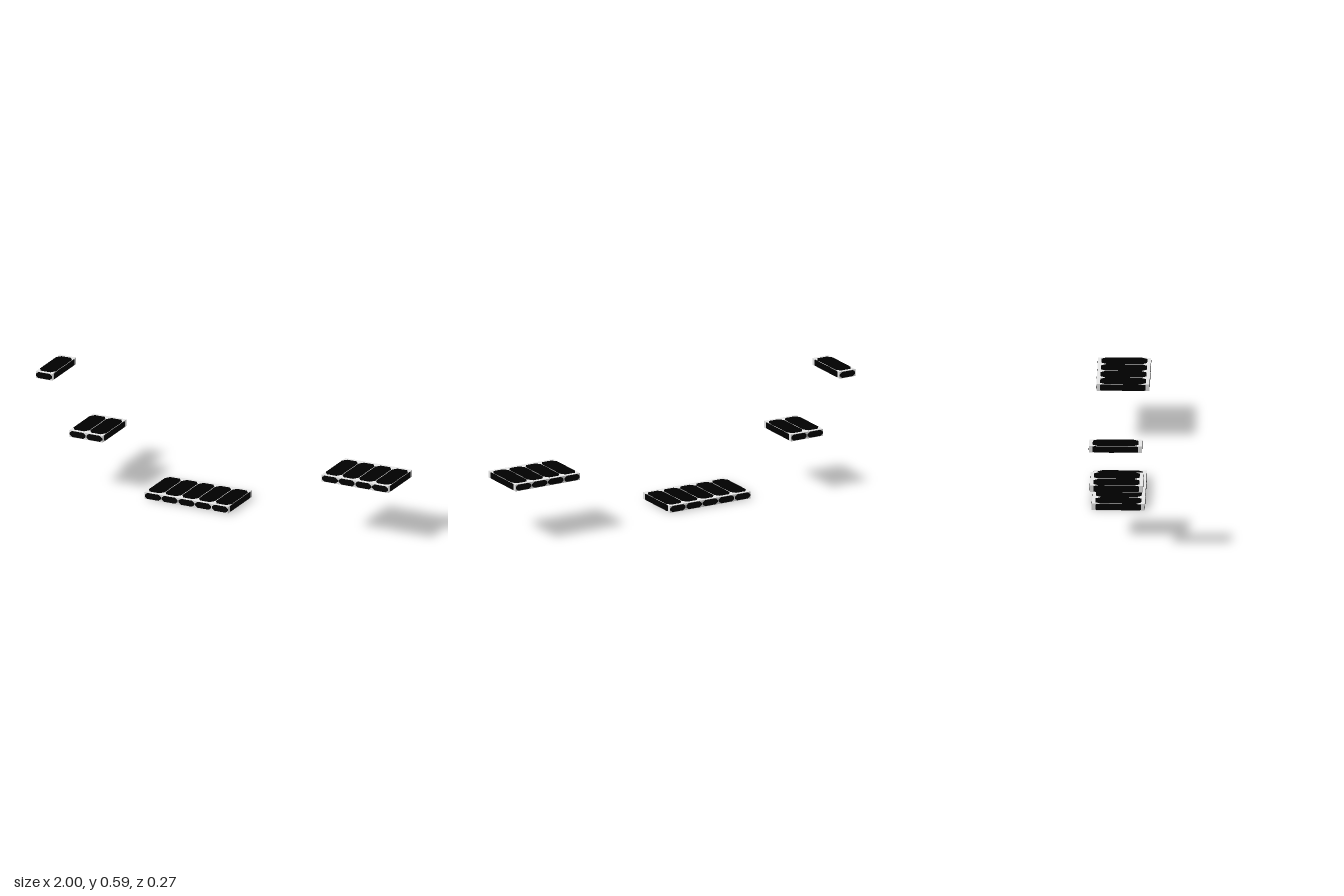
import * as THREE from 'three';

const PITCH = 0.095, HEIGHT = 0.0375, DEPTH = 0.27, SKIN = 0.0008;

// Flat panel with cut corners, facing +z
function chamferedPanel(w, h, cx, cy) {
  const x = w / 2, y = h / 2;
  const shape = new THREE.Shape([
    [-x + cx, -y], [x - cx, -y], [x, -y + cy], [x, y - cy],
    [x - cx, y], [-x + cx, y], [-x, y - cy], [-x, -y + cy],
  ].map(([a, b]) => new THREE.Vector2(a, b)));
  return new THREE.ExtrudeGeometry(shape, { depth: SKIN, bevelEnabled: false });
}

export function createModel() {
  const grey = new THREE.MeshStandardMaterial({ color: 0xe6e6e6 });
  grey.name = 'light grey';
  const black = new THREE.MeshStandardMaterial({ color: 0x000000 });
  black.name = 'black';

  const flat = chamferedPanel(0.0905, 0.232, 0.018, 0.026);
  const face = chamferedPanel(0.0905, 0.032, 0.014, 0.011);
  const end = chamferedPanel(0.231, 0.033, 0.008, 0.003);

  // One platform made of a row of dark tiles in a pale slab
  function platform(left, base, count) {
    const group = new THREE.Group();
    group.name = 'platform';
    const width = count * PITCH;
    group.position.set(left + width / 2, base + HEIGHT / 2, 0);
    const add = (name, geometry, material, x, y, z, rx = 0, ry = 0) => {
      const mesh = new THREE.Mesh(geometry, material);
      mesh.name = name;
      mesh.position.set(x, y, z);
      mesh.rotation.set(rx, ry, 0);
      group.add(mesh);
    };
    const t = 2 * SKIN;
    add('slab', new THREE.BoxGeometry(width - t, HEIGHT - t, DEPTH - t), grey, 0, 0, 0);

    const hy = HEIGHT / 2 - SKIN, hz = DEPTH / 2 - SKIN, hx = width / 2 - SKIN;
    for (let i = 0; i < count; i++) {
      const x = (i - (count - 1) / 2) * PITCH;
      add('tileTop', flat, black, x, hy, 0, -Math.PI / 2);
      add('tileBottom', flat, black, x, -hy, 0, Math.PI / 2);
      add('tileFront', face, black, x, 0, hz);
      add('tileBack', face, black, x, 0, -hz, 0, Math.PI);
    }
    // Dark end faces
    for (const s of [-1, 1]) add('tileEnd', end, black, s * hx, 0, 0, 0, s * Math.PI / 2);
    return group;
  }

  const model = new THREE.Group();
  model.name = 'steppedPlatforms';
  // Left edge, bottom height, number of tiles
  for (const p of [[-1, 0.55, 1], [-0.81, 0.263, 2], [-0.383, 0, 5], [0.62, 0.263, 4]]) {
    model.add(platform(...p));
  }
  return model;
}
